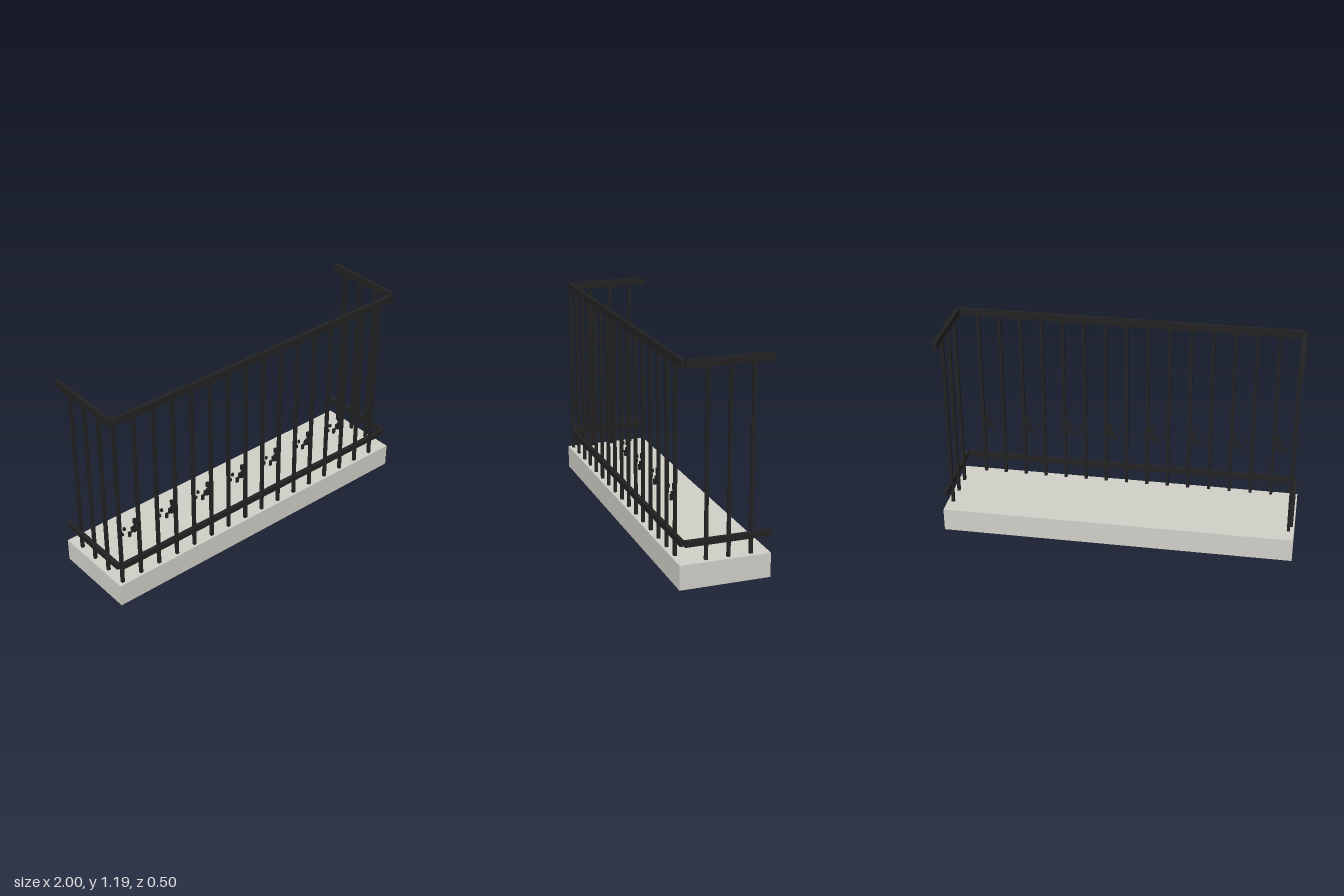
import * as THREE from 'three';

export function createModel() {
  const model = new THREE.Group();
  const iron = new THREE.MeshStandardMaterial({ color: 0x222222 });
  const stone = new THREE.MeshStandardMaterial({ color: 0xd0cfc8 });

  const box = (name, size, pos, material = iron, parent = model) => {
    const mesh = new THREE.Mesh(new THREE.BoxGeometry(...size), material);
    mesh.name = name;
    mesh.position.set(...pos);
    parent.add(mesh);
    return mesh;
  };

  // Balcony floor
  const floorTop = 0.135;
  box('floorSlab', [2, floorTop, 0.5], [0, floorTop / 2, 0], stone);

  // Handrail and lower rail: one long front run and two side runs each
  const frontZ = 0.227;
  const rails = [
    ['handrail', 1.17, 0.042],
    ['lowerRail', 0.241, 0.033],
  ];
  for (const [name, y, height] of rails) {
    box(name + 'Front', [1.945, height, 0.022], [0, y, frontZ]);
    for (const side of [-1, 1]) {
      const label = name + (side > 0 ? 'Left' : 'Right');
      box(label, [0.022, height, 0.467], [side * 0.981, y, -0.0165]);
    }
  }

  // Upright bars, evenly spaced along the front and the sides
  const step = 0.1223;
  const startX = -0.968;
  const barTop = 1.152;
  const bar = (name, x, z) =>
    box(name, [0.017, barTop - floorTop, 0.017], [x, (barTop + floorTop) / 2, z]);
  for (let i = 0; i < 16; i++) bar('frontBar', startX + i * step, 0.226);
  for (const side of [-1, 1]) {
    for (let i = 0; i < 3; i++) bar('sideBar', side * 0.968, 0.096 - i * 0.123);
  }

  // Small scattered ornament in every second gap: x, y, width, height
  const flecks = [
    [0.012, 0.452, 0.02, 0.017],
    [0.03, 0.481, 0.013, 0.017],
    [0.062, 0.43, 0.016, 0.03],
    [0.081, 0.452, 0.014, 0.032],
    [0.095, 0.502, 0.013, 0.03],
    [0.107, 0.49, 0.014, 0.044],
    [0.096, 0.452, 0.014, 0.046],
  ];
  for (let i = 0; i < 8; i++) {
    const ornament = new THREE.Group();
    ornament.name = 'ornament';
    ornament.position.set(startX + i * 2 * step, 0, 0.226);
    for (const [x, y, w, h] of flecks) {
      box('ornamentFleck', [w, h, 0.01], [x, y, 0], iron, ornament);
    }
    model.add(ornament);
  }

  return model;
}
